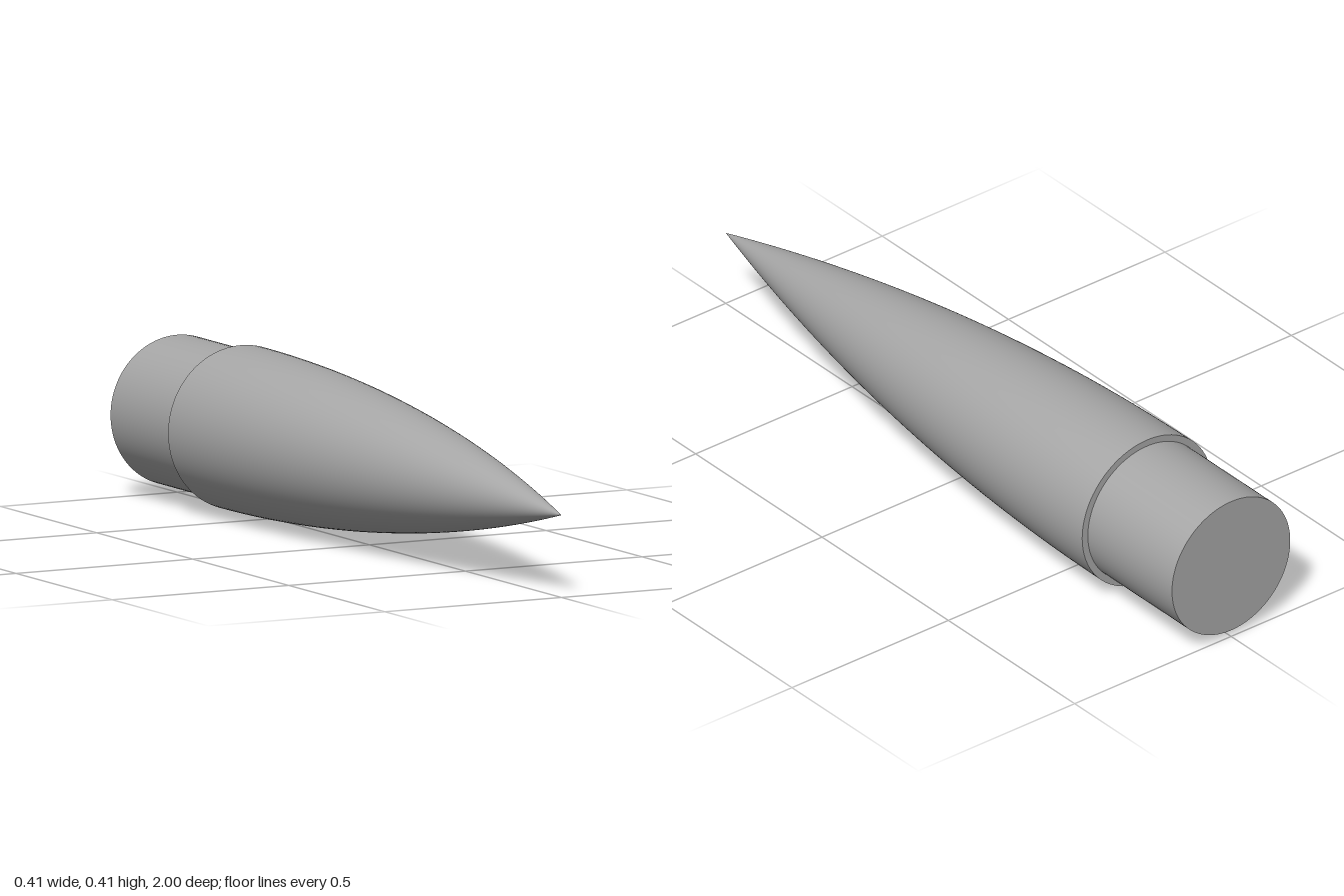
import * as THREE from 'three';

export function createModel() {
  const group = new THREE.Group();
  const grey = new THREE.MeshStandardMaterial({ color: 0xa6a6a6 });
  grey.name = 'grey';

  const R = 0.207, SHANK_R = 0.189, AXIS_Y = 0.209, BASE = -0.667, SEGMENTS = 96;
  const length = 1 - BASE;

  // Turned parts are built along +y, then laid down so the tip points to +z
  const add = (name, geometry) => {
    geometry.rotateX(Math.PI / 2);
    const mesh = new THREE.Mesh(geometry, grey);
    mesh.name = name;
    mesh.position.y = AXIS_Y;
    group.add(mesh);
  };

  // Tangent ogive nose: a circular arc that runs parallel to the axis at its base
  const rho = (R * R + length * length) / (2 * R);
  const profile = [];
  for (let i = 0; i <= 48; i++) {
    const d = (length * i) / 48;
    const r = Math.sqrt(rho * rho - d * d) + R - rho;
    profile.push(new THREE.Vector2(Math.max(r, 0), BASE + d));
  }
  add('noseCone', new THREE.LatheGeometry(profile, SEGMENTS));

  // Flat step facing backwards between nose and shank
  add('shoulder', new THREE.LatheGeometry(
    [new THREE.Vector2(SHANK_R, BASE), new THREE.Vector2(R, BASE)], SEGMENTS));

  // Straight shank with a closed rear end
  const shank = new THREE.CylinderGeometry(SHANK_R, SHANK_R, 1 + BASE, SEGMENTS);
  shank.translate(0, (BASE - 1) / 2, 0);
  add('shank', shank);

  return group;
}
